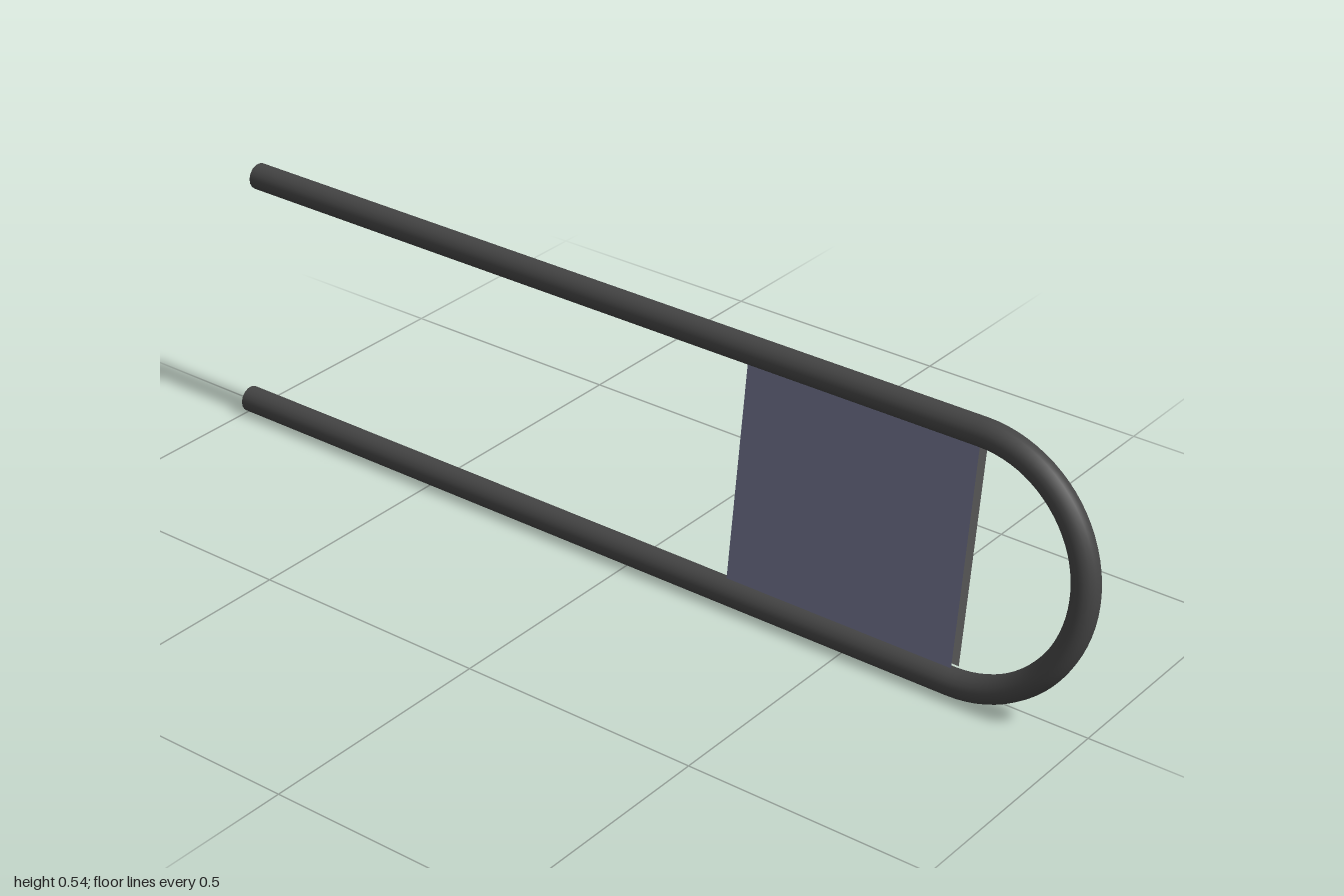
import * as THREE from 'three';

const R = 0.243;        // bend radius, also half the rail spacing
const TUBE = 0.027;     // tube radius
const BEND_Z = 0.73;    // where the straight rails meet the bend
const BACK_Z = -1;
const SIDES = 16;

export function createModel() {
  const model = new THREE.Group();
  const frame = new THREE.Group();
  frame.name = 'tiltedFrame';
  frame.position.y = 0.268;
  frame.rotation.z = -0.128;
  model.add(frame);

  const tubeDark = new THREE.MeshStandardMaterial({ color: 0x444444 });
  tubeDark.name = 'darkTube';
  const grey = new THREE.MeshStandardMaterial({ color: 0x808080, side: THREE.DoubleSide });
  grey.name = 'greySheet';
  const slate = new THREE.MeshStandardMaterial({ color: 0x70738d, side: THREE.DoubleSide });
  slate.name = 'slateBlueSheet';

  const add = (name, geometry, material) => {
    const mesh = new THREE.Mesh(geometry, material);
    mesh.name = name;
    frame.add(mesh);
    return mesh;
  };

  // Half-round bend at the front
  const bend = new THREE.TorusGeometry(R, TUBE, SIDES, 40, Math.PI);
  bend.rotateZ(-Math.PI / 2).rotateY(-Math.PI / 2);
  add('frontBend', bend, tubeDark).position.z = BEND_Z;

  // Two straight rails running back from the bend
  for (const [name, s] of [['upperRail', 1], ['lowerRail', -1]]) {
    const rail = new THREE.CylinderGeometry(TUBE, TUBE, BEND_Z - BACK_Z, SIDES);
    rail.rotateX(Math.PI / 2);
    add(name, rail, tubeDark).position.set(0, s * R, (BEND_Z + BACK_Z) / 2);
  }

  // Two thin parallel sheets between the rails
  for (const [name, x, material] of [['outerSheet', 0.024, grey], ['innerSheet', -0.003, slate]]) {
    const sheet = new THREE.PlaneGeometry(0.5, 0.444);
    sheet.rotateY(Math.PI / 2);
    add(name, sheet, material).position.set(x, 0, BEND_Z - 0.25);
  }

  return model;
}
